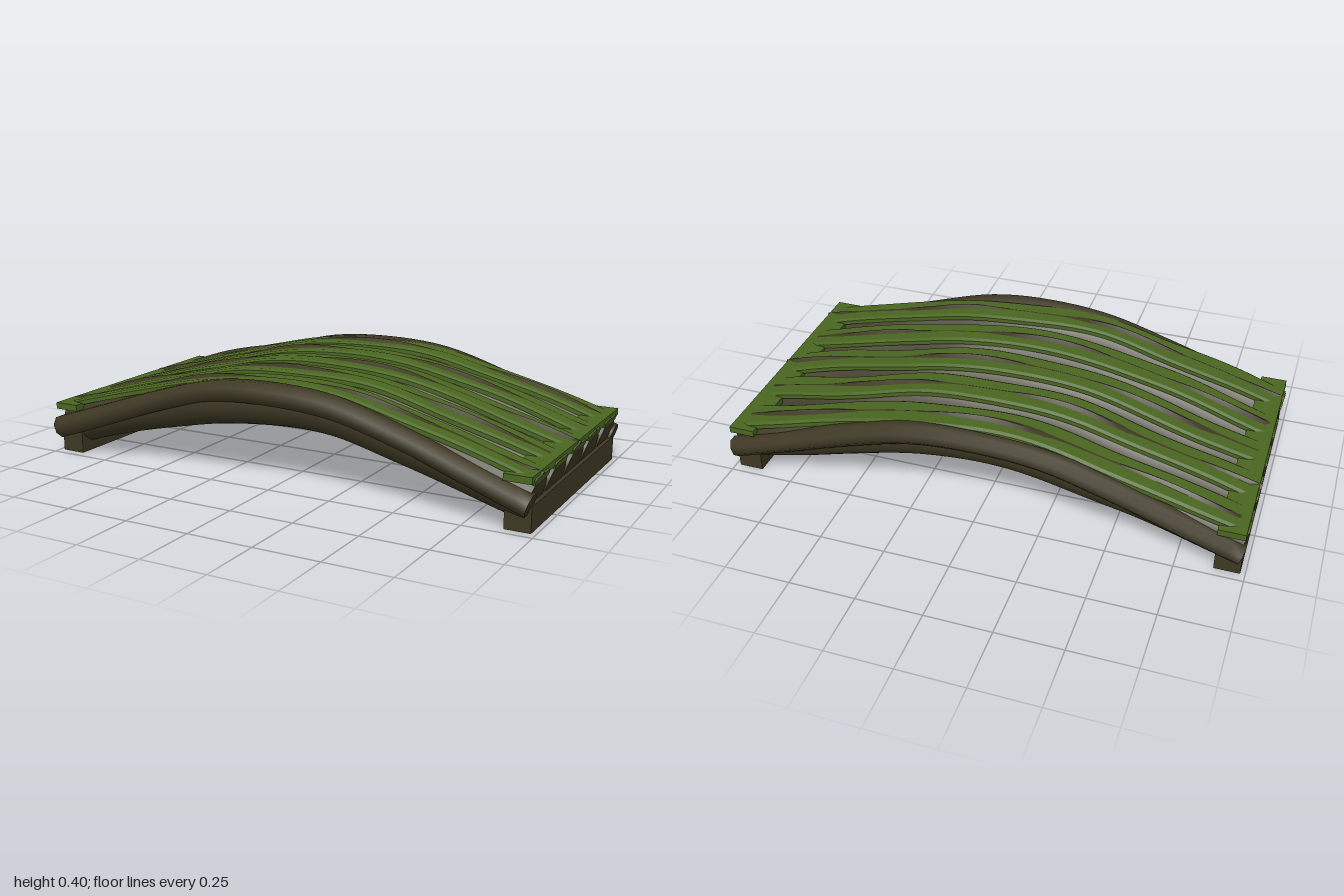
import * as THREE from 'three';
import { toCreasedNormals } from 'three/addons/utils/BufferGeometryUtils.js';

const wood = new THREE.MeshStandardMaterial({ color: 0x3e3823 });
wood.name = 'darkWood';
const moss = new THREE.MeshStandardMaterial({ color: 0x4a6620 });
moss.name = 'mossGreen';

// Smooth arch through [x, y] points given for the +x half, mirrored to -x
function archCurve(half) {
  const mirrored = half.slice(1).reverse().map(([x, y]) => [-x, y]);
  const pts = [...mirrored, ...half].map(([x, y]) => new THREE.Vector3(x, y, 0));
  return new THREE.CatmullRomCurve3(pts);
}

const logArch = archCurve([[0, 0.3], [0.25, 0.285], [0.5, 0.23], [0.75, 0.166], [0.97, 0.102]]);
const railArch = archCurve([[0, 0.352], [0.25, 0.334], [0.5, 0.265], [0.75, 0.178], [0.98, 0.1]]);

// Gentle sideways wander shared by a log and the moss on it
const wander = (x, seed) => 0.009 * Math.sin(x * 5 + 2.6 + seed * 0.35) + 0.004 * Math.sin(x * 11 + seed * 2);

// Sweep a ring of [z, up] points along an arch; profile(x) returns the ring
function sweep(curve, profile, zAt, steps, crease) {
  const pos = [], index = [];
  let n = 0;
  for (let i = 0; i <= steps; i++) {
    const p = curve.getPointAt(i / steps);
    const t = curve.getTangentAt(i / steps);
    const ring = profile(p.x);
    n = ring.length;
    for (const [z, up] of ring) pos.push(p.x - t.y * up, p.y + t.x * up, zAt(p.x) + z);
  }
  for (let i = 0; i < steps; i++) {
    for (let j = 0; j < n; j++) {
      const a = i * n + j, b = i * n + (j + 1) % n;
      index.push(a, a + n, b, b, a + n, b + n);
    }
  }
  // End caps
  const last = steps * n;
  for (let j = 1; j < n - 1; j++) {
    index.push(0, j, j + 1);
    index.push(last, last + j + 1, last + j);
  }
  const g = new THREE.BufferGeometry();
  g.setAttribute('position', new THREE.Float32BufferAttribute(pos, 3));
  g.setIndex(index);
  return toCreasedNormals(g, crease);
}

// Round trunk section with a thin ridge along the top that comes and goes
function logRing(x, seed) {
  const ring = [];
  const sides = 24;
  const r = 0.087 + 0.003 * Math.sin(x * 7 + seed * 1.7);
  const ridge = 0.004 + 0.007 * Math.sin(x * 9 + seed * 2.3);
  for (let j = 0; j < sides; j++) {
    const a = (j / sides) * Math.PI * 2;
    const rr = j === sides / 4 ? 0.09 + Math.max(ridge, 0) : r;
    ring.push([Math.cos(a) * rr, Math.sin(a) * rr]);
  }
  return ring;
}

// Octagonal rail section
function railRing(x, seed) {
  const r = 0.043 + 0.002 * Math.sin(x * 6 + seed);
  return Array.from({ length: 8 }, (_, j) => {
    const a = ((j + 0.5) / 8) * Math.PI * 2;
    return [Math.cos(a) * r, Math.sin(a) * r];
  });
}

// Flat moss strip with wavering edges
function mossRing(x, seed) {
  const l = 0.068 + 0.005 * Math.sin(x * 8 + seed * 3);
  const r = 0.068 + 0.005 * Math.sin(x * 10 + seed * 1.3);
  return [[r, 0.066], [r, 0.082], [r - 0.012, 0.089], [-l + 0.012, 0.089], [-l, 0.082], [-l, 0.066]];
}

export function createModel() {
  const model = new THREE.Group();
  model.name = 'archedLogBridge';
  const add = (name, geometry, material) => {
    const mesh = new THREE.Mesh(geometry, material);
    mesh.name = name;
    model.add(mesh);
    return mesh;
  };

  // Five deck logs, each carrying a strip of moss
  for (let i = -2; i <= 2; i++) {
    const zAt = (x) => i * 0.194 + wander(x, i);
    add('deckLog', sweep(logArch, (x) => logRing(x, i), zAt, 48, 0.7), wood);
    add('mossStrip', sweep(logArch, (x) => mossRing(x, i), zAt, 48, 0.5), moss);
  }

  for (const s of [-1, 1]) {
    // Thin edge rails along both long sides
    const zAt = (x) => s * 0.472 + 0.003 * Math.sin(x * 6 + s);
    add('edgeRail', sweep(railArch, (x) => railRing(x, s), zAt, 40, 0.9), wood);

    // Foot beam under each end
    add('footBeam', new THREE.BoxGeometry(0.095, 0.092, 0.93), wood).position.set(s * 0.935, 0.046, 0);

    // Mossy cross plank over each end
    add('crossPlank', new THREE.BoxGeometry(0.1, 0.025, 0.98), moss).position.set(s * 0.938, 0.188, 0);
  }
  return model;
}
